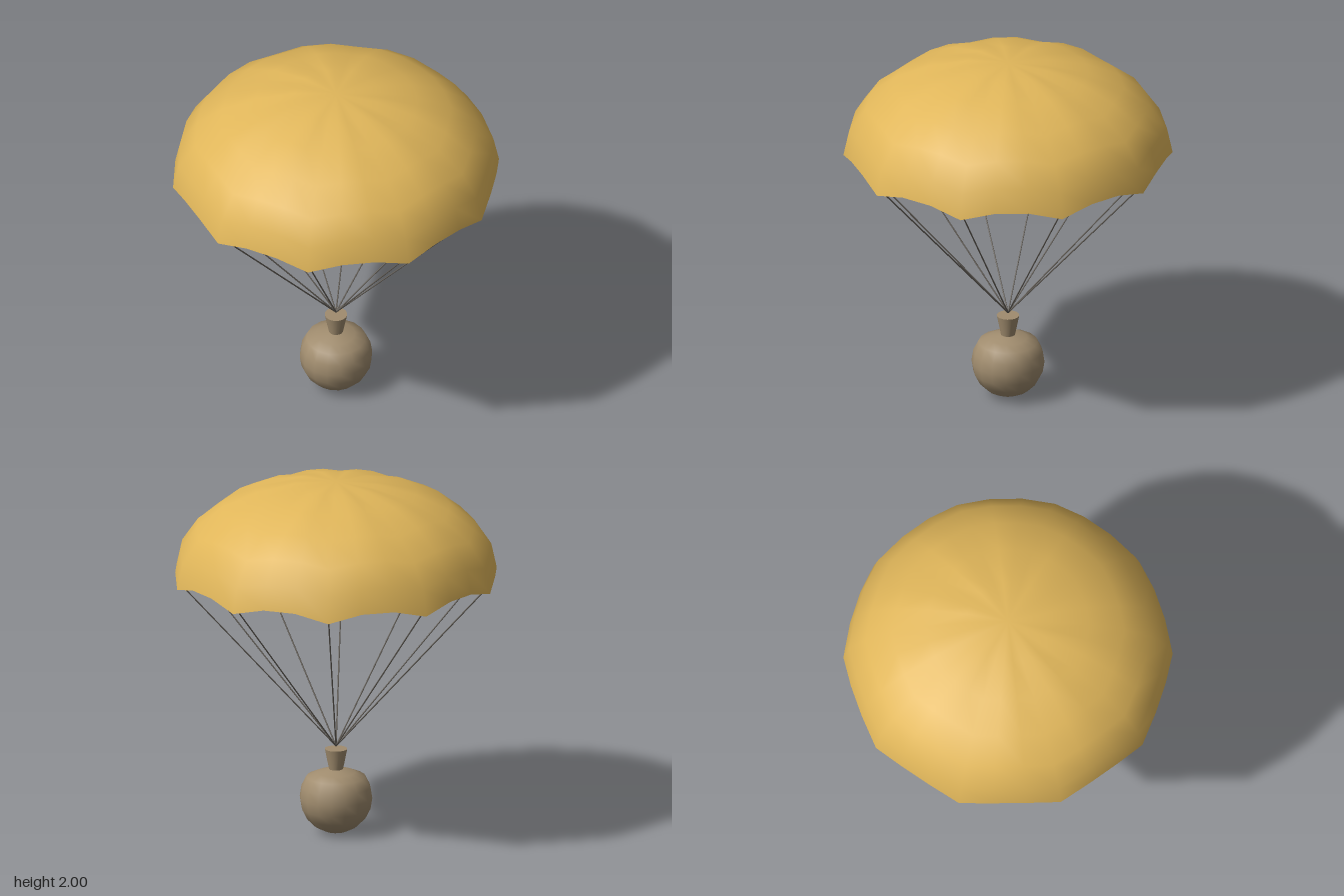
import * as THREE from 'three';
import { mergeVertices } from 'three/addons/utils/BufferGeometryUtils.js';

const GORES = 10;
const mat = (name, color, side = THREE.FrontSide) => {
  const m = new THREE.MeshStandardMaterial({ color, side });
  m.name = name;
  return m;
};
const part = (name, geometry, material) => {
  const mesh = new THREE.Mesh(geometry, material);
  mesh.name = name;
  return mesh;
};

// Half dome of ten gores: seams follow an ellipse, panels between them lift and pull in
function canopyGeometry() {
  const rings = 6;
  let g = new THREE.SphereGeometry(1, GORES * 3, rings, 0, Math.PI * 2, 0, Math.PI / 2);
  g.deleteAttribute('uv');
  g.deleteAttribute('normal');
  const p = g.attributes.position;
  const cols = GORES * 3 + 1;
  for (let i = 0; i < p.count; i++) {
    const t = Math.floor(i / cols) / rings;
    const panel = (i % cols) % 3 !== 0 && t > 0;
    const r = 0.9 * (panel ? 0.978 : 1);
    p.setXYZ(i, p.getX(i) * r, 1.45 + 0.55 * p.getY(i) + (panel ? 0.045 * t : 0), p.getZ(i) * r);
  }
  g = mergeVertices(g, 1e-5);
  g.computeVertexNormals();
  return g;
}

// Thin straight cord between two points
function cord(from, to, material) {
  const dir = to.clone().sub(from);
  const mesh = part('cord', new THREE.CylinderGeometry(0.004, 0.004, dir.length(), 6), material);
  mesh.position.copy(from).add(to).multiplyScalar(0.5);
  mesh.quaternion.setFromUnitVectors(new THREE.Vector3(0, 1, 0), dir.normalize());
  return mesh;
}

export function createModel() {
  const model = new THREE.Group();
  model.name = 'parachute';
  const cloth = mat('yellow cloth', 0xe0b65a, THREE.DoubleSide);
  const rope = mat('grey cord', 0x66615a);
  const sack = mat('brown sackcloth', 0xa08c6e);

  model.add(part('canopy', canopyGeometry(), cloth));

  // One cord from each scallop point down to the knot
  const cords = new THREE.Group();
  cords.name = 'cords';
  const knot = new THREE.Vector3(0, 0.49, 0);
  for (let i = 0; i < GORES; i++) {
    const a = (i / GORES) * Math.PI * 2;
    cords.add(cord(knot, new THREE.Vector3(0.85 * Math.cos(a), 1.447, 0.85 * Math.sin(a)), rope));
  }
  model.add(cords);

  // Round sack with a flattened shoulder
  const profile = [];
  for (let i = 0; i <= 7; i++) {
    const a = (i * Math.PI) / 10;
    profile.push(new THREE.Vector2(0.2 * Math.sin(a), 0.2 - 0.2 * Math.cos(a)));
  }
  profile.push(new THREE.Vector2(0.105, 0.342), new THREE.Vector2(0.045, 0.36), new THREE.Vector2(0, 0.365));
  model.add(part('sack', new THREE.LatheGeometry(profile, 16), sack));

  // Flared, gathered neck
  const neck = part('sackNeck', new THREE.CylinderGeometry(0.062, 0.038, 0.12, 16), sack);
  neck.position.y = 0.415;
  model.add(neck);

  return model;
}
